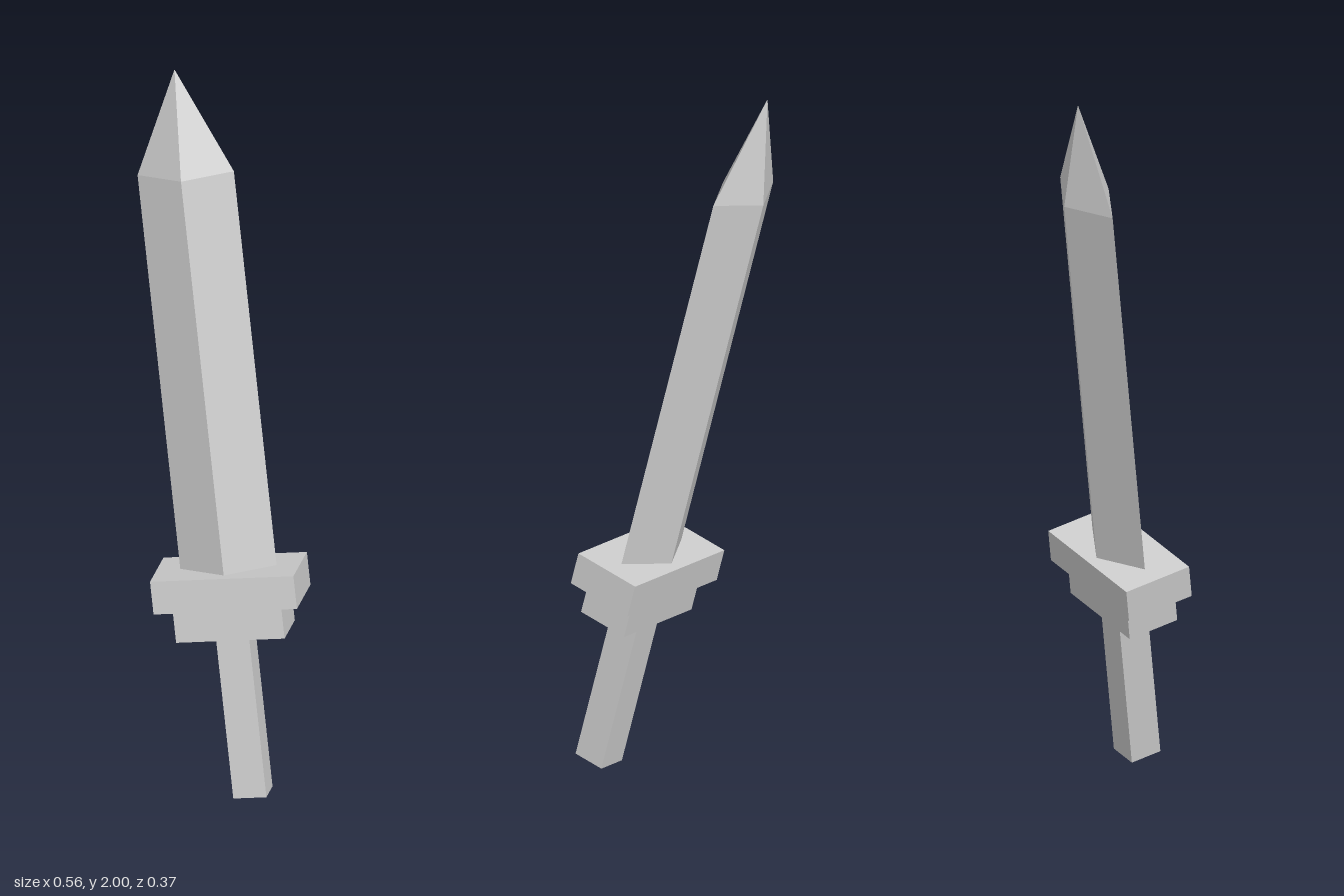
import * as THREE from 'three';

const steel = new THREE.MeshStandardMaterial({ color: 0xcccccc });
steel.name = 'lightGrey';

function addPart(parent, name, geometry, y) {
  const flat = geometry.toNonIndexed();
  flat.computeVertexNormals();
  const mesh = new THREE.Mesh(flat, steel);
  mesh.name = name;
  mesh.position.y = y;
  parent.add(mesh);
}

export function createModel() {
  const model = new THREE.Group();
  model.name = 'sword';

  // Sword built upright from the butt of the grip, then tilted
  const sword = new THREE.Group();
  sword.name = 'tiltedSword';
  model.add(sword);

  // Square grip and stepped guard: width, bottom, top, depth
  const blocks = [
    ['grip', 0.09, 0, 0.46, 0.09],
    ['lowerGuard', 0.295, 0.453, 0.545, 0.15],
    ['upperGuard', 0.39, 0.543, 0.635, 0.198],
  ];
  for (const [name, width, bottom, top, depth] of blocks) {
    addPart(sword, name, new THREE.BoxGeometry(width, top - bottom, depth), (bottom + top) / 2);
  }

  // Diamond-section blade with a four-sided point
  const base = 0.63, shoulder = 1.744, tip = 2.036;
  const halfWidth = 0.131, halfDepth = 0.07;
  const blade = new THREE.CylinderGeometry(1, 1, shoulder - base, 4, 1, true);
  blade.scale(halfWidth, 1, halfDepth);
  addPart(sword, 'blade', blade, (base + shoulder) / 2);
  const point = new THREE.ConeGeometry(1, tip - shoulder, 4, 1, true);
  point.scale(halfWidth, 1, halfDepth);
  addPart(sword, 'bladePoint', point, (shoulder + tip) / 2);

  // Lean and twist of the whole sword
  const up = new THREE.Vector3(-0.188, 0.975, -0.115).normalize();
  const side = new THREE.Vector3(0.923, 0.128, -0.364);
  const front = side.clone().cross(up).normalize();
  side.crossVectors(up, front);
  sword.quaternion.setFromRotationMatrix(new THREE.Matrix4().makeBasis(side, up, front));
  sword.position.set(0.17, 0.014, 0.082);

  return model;
}
